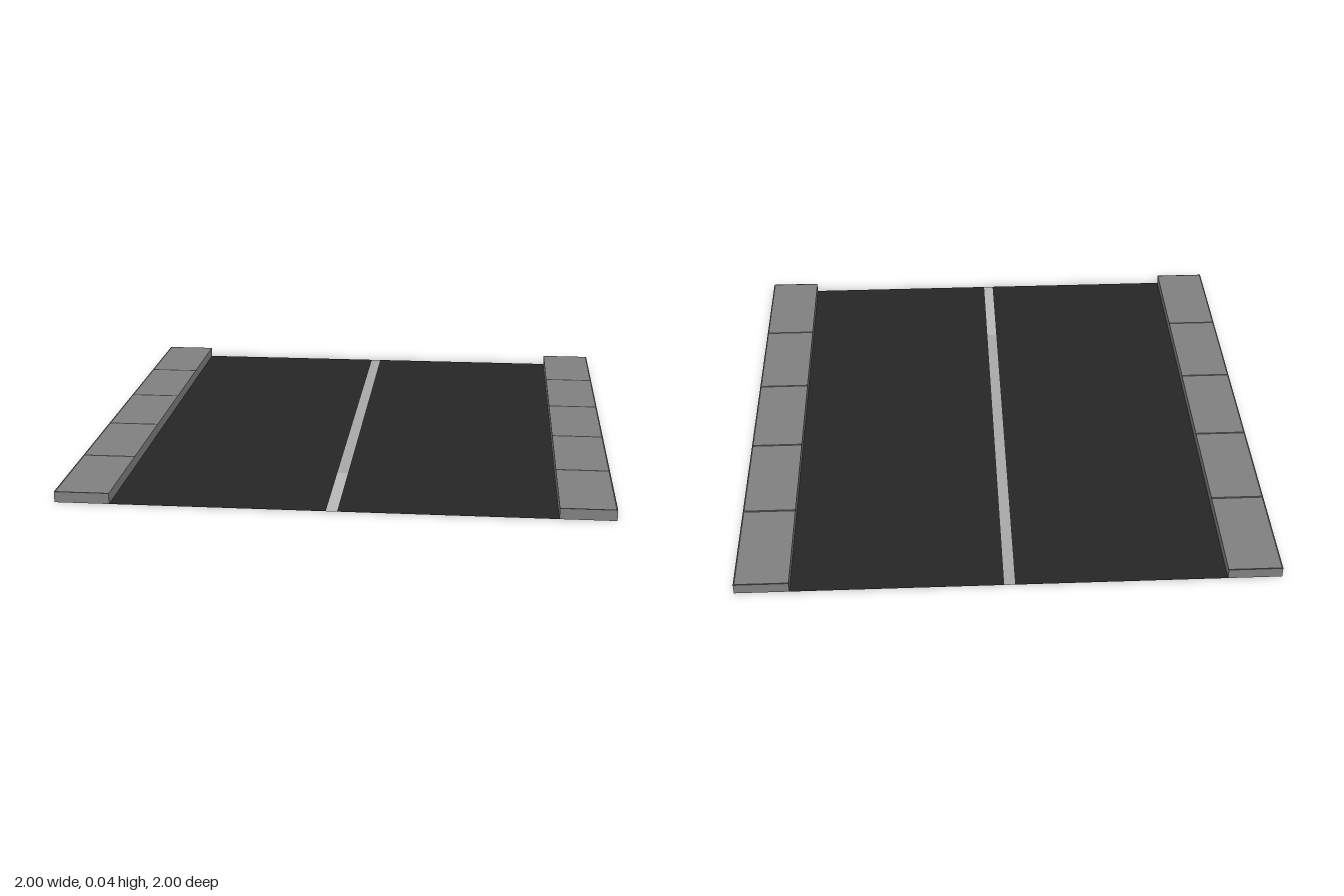
import * as THREE from 'three';

const mat = (color) => new THREE.MeshStandardMaterial({ color, side: THREE.DoubleSide });

export function createModel() {
  const model = new THREE.Group();
  const asphalt = mat(0x262626), paint = mat(0xa8a8a8), freshPaint = mat(0xb8b8b8);
  const stone = mat(0x7f7f7f), joint = mat(0x3c3c3c);
  const H = 0.04, J = 0.006; // kerb height, half joint width

  // Horizontal sheet spanning x0..x1 and z0..z1 at height y
  function sheet(parent, name, material, x0, x1, z0, z1, y) {
    const geo = new THREE.PlaneGeometry(x1 - x0, z1 - z0).rotateX(-Math.PI / 2);
    const mesh = new THREE.Mesh(geo, material);
    mesh.position.set((x0 + x1) / 2, y, (z0 + z1) / 2);
    mesh.name = name;
    parent.add(mesh);
  }

  // Vertical kerb wall of given length, turned to face outward
  function wall(parent, name, length, x, z, turn) {
    const mesh = new THREE.Mesh(new THREE.PlaneGeometry(length, H), stone);
    mesh.position.set(x, H / 2, z);
    mesh.rotation.y = turn;
    mesh.name = name;
    parent.add(mesh);
  }

  // Road surface: two lanes either side of the painted centre line
  sheet(model, 'rightLane', asphalt, -0.8, -0.02, -1, 1, 0);
  sheet(model, 'leftLane', asphalt, 0.02, 0.8, -1, 1, 0);
  sheet(model, 'centreLine', paint, -0.02, 0.02, -1, 0.6, 0);
  sheet(model, 'centreLineFront', freshPaint, -0.02, 0.02, 0.6, 1, 0);

  // Pavements: hollow kerbs, open underneath, topped with five slabs
  for (const s of [-1, 1]) {
    const pavement = new THREE.Group();
    pavement.name = s < 0 ? 'rightPavement' : 'leftPavement';
    const span = (a, b) => (s < 0 ? [-b, -a] : [a, b]);

    for (let i = 0; i < 5; i++) {
      const z = -1 + i * 0.4;
      sheet(pavement, 'slab', stone, ...span(0.8, 1 - J), z + J, z + 0.4 - J, H);
    }
    for (let i = 0; i <= 5; i++) {
      const z = -1 + i * 0.4;
      sheet(pavement, 'joint', joint, ...span(0.8, 1 - J), Math.max(-1, z - J), Math.min(1, z + J), H);
    }
    sheet(pavement, 'outerEdge', joint, ...span(1 - J, 1), -1, 1, H);

    wall(pavement, 'outerWall', 2, s, 0, s * Math.PI / 2);
    wall(pavement, 'innerWall', 2, s * 0.8, 0, -s * Math.PI / 2);
    wall(pavement, 'frontWall', 0.2, s * 0.9, 1, 0);
    wall(pavement, 'backWall', 0.2, s * 0.9, -1, Math.PI);
    model.add(pavement);
  }
  return model;
}
